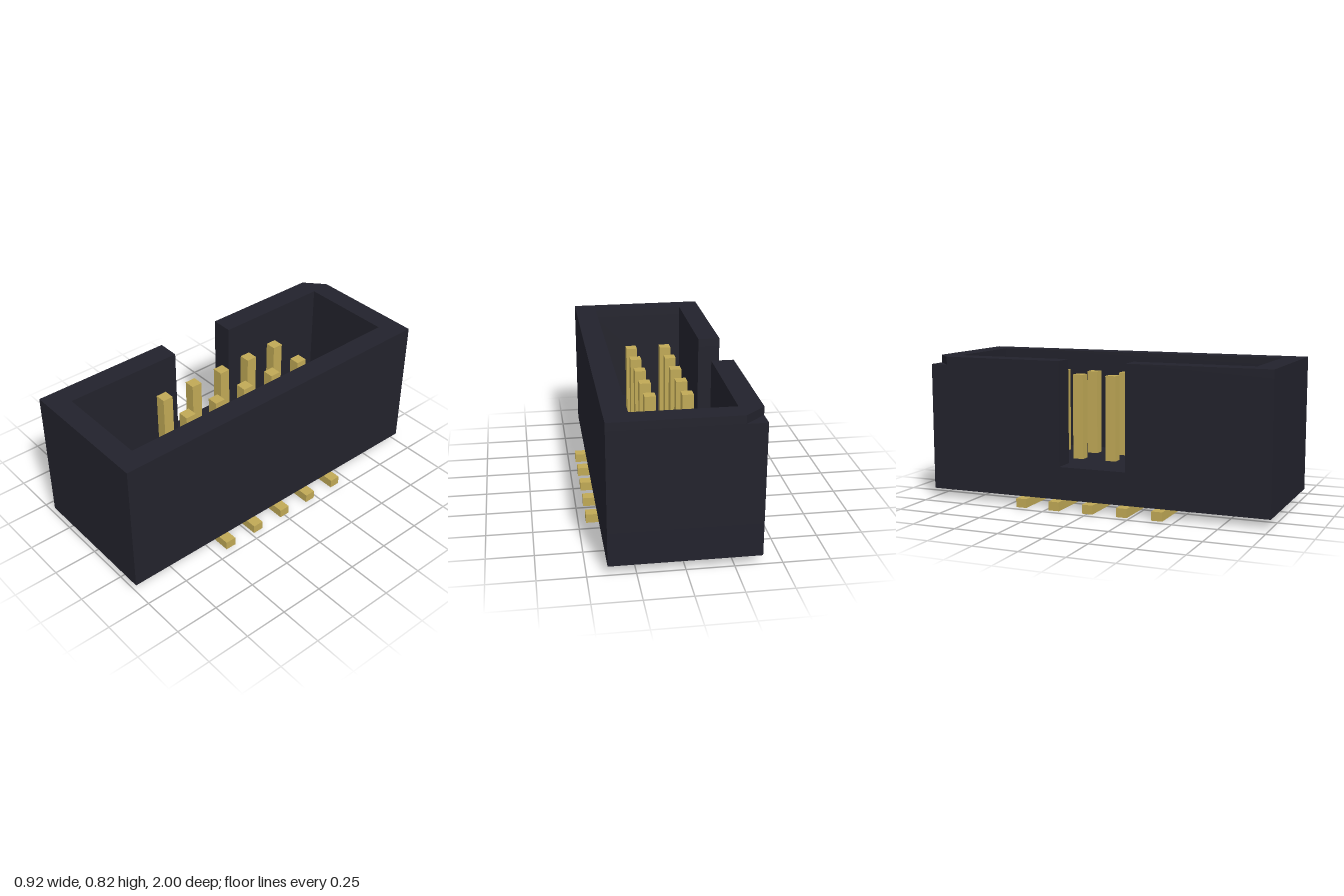
import * as THREE from 'three';

const W = 0.395, L = 1;            // half width and half length of the housing
const IW = 0.27, IL = 0.88;        // half size of the cavity
const SLOT = 0.195;                // half width of the key slot
const BASE = 0.05, FLOOR = 0.234, LEDGE = 0.775, TOP = 0.82;

export function createModel() {
  const plastic = new THREE.MeshStandardMaterial({ color: 0x22222c });
  plastic.name = 'black plastic';
  const gold = new THREE.MeshStandardMaterial({ color: 0xc0a956 });
  gold.name = 'gold contact';

  const model = new THREE.Group();
  model.name = 'boxHeader';

  const add = (name, geometry, material, x = 0, y = 0, z = 0) => {
    const mesh = new THREE.Mesh(geometry, material);
    mesh.name = name;
    mesh.position.set(x, y, z);
    model.add(mesh);
  };

  // Wall ring open at the key slot, given as (x, z) outline raised from y0 to y1
  const wall = (name, corner, y0, y1) => {
    const outline = [
      [-W, SLOT], [-W, L], [W, L], [W, -L], ...corner, [-W, -SLOT],
      [-IW, -SLOT], [-IW, -IL], [IW, -IL], [IW, IL], [-IW, IL], [-IW, SLOT],
    ];
    const shape = new THREE.Shape(outline.map(([x, z]) => new THREE.Vector2(x, -z)));
    const geometry = new THREE.ExtrudeGeometry(shape, { depth: y1 - y0, bevelEnabled: false });
    geometry.rotateX(-Math.PI / 2);
    add(name, geometry, plastic, 0, y0, 0);
  };

  // Housing: solid base, walls, and a rim with one notched corner
  add('housingBase', new THREE.BoxGeometry(2 * W, FLOOR - BASE, 2 * L), plastic, 0, (BASE + FLOOR) / 2, 0);
  wall('housingWall', [[-W, -L]], FLOOR, LEDGE);
  wall('housingRim', [[-0.285, -L], [-W, -0.9]], LEDGE, TOP);

  // Two rows of five contacts: upright pin and outward foot
  const pinTop = 0.72, t = 0.062;
  const pin = new THREE.BoxGeometry(t, pinTop - BASE, t);
  const foot = new THREE.BoxGeometry(0.388, BASE, t);
  for (const side of [-1, 1]) {
    for (let i = -2; i <= 2; i++) {
      add('pin', pin, gold, side * 0.101, (pinTop + BASE) / 2, i * 0.201);
      add('foot', foot, gold, side * 0.264, BASE / 2, i * 0.201);
    }
  }
  return model;
}
